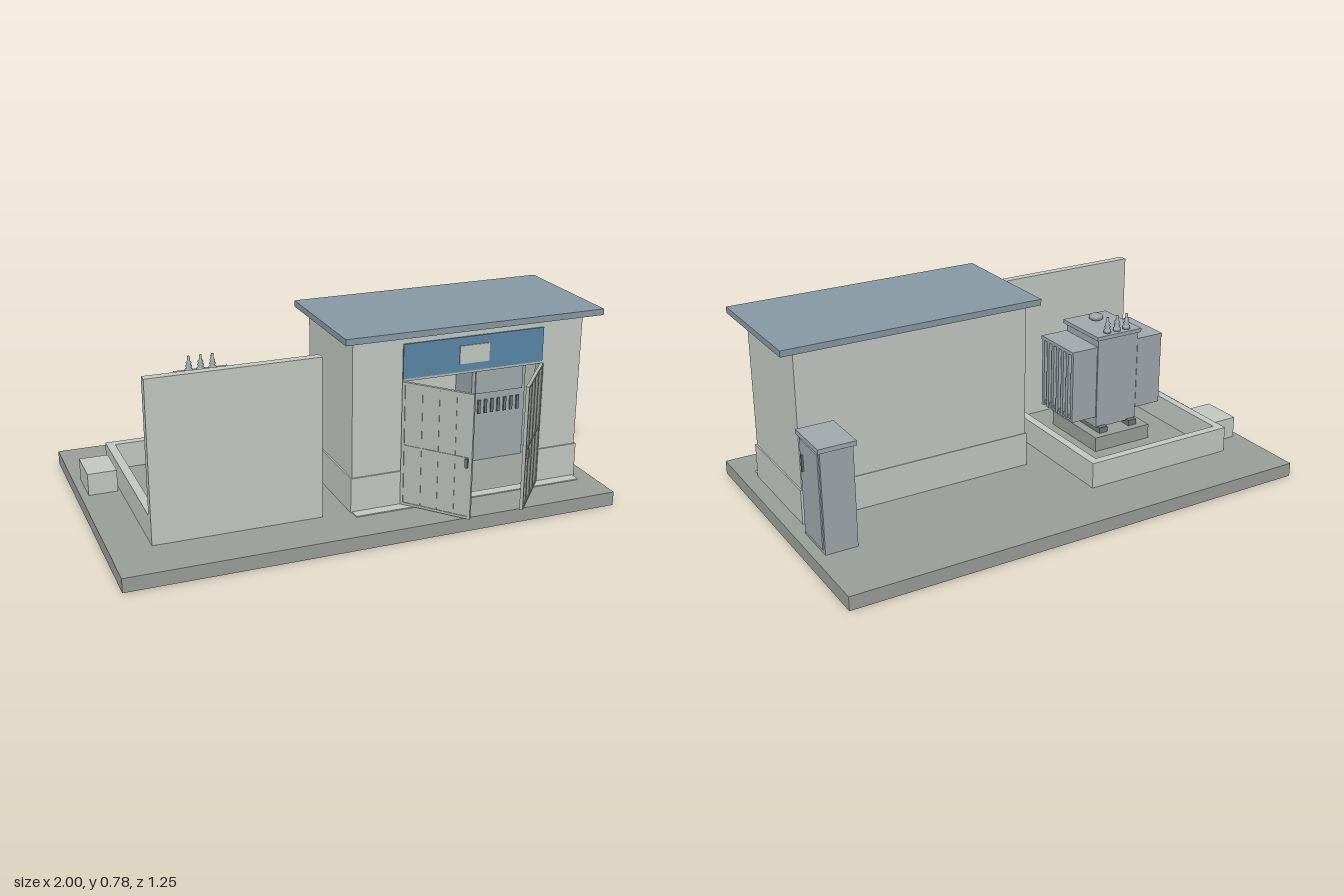
import * as THREE from 'three';

const mat = (color) => new THREE.MeshStandardMaterial({ color });
const M = {
  slab: mat(0x9a9e98), wall: mat(0xc3c8c2), roof: mat(0x8899a4), band: mat(0x5886a6),
  steel: mat(0xa0a9ac), door: mat(0xb3b8b4), dark: mat(0x6f7678),
};
const TOP = 0.057; // slab surface

// box from min/max extents
function box(parent, name, m, x0, x1, y0, y1, z0, z1) {
  const mesh = new THREE.Mesh(new THREE.BoxGeometry(x1 - x0, y1 - y0, z1 - z0), m);
  mesh.position.set((x0 + x1) / 2, (y0 + y1) / 2, (z0 + z1) / 2);
  mesh.name = name;
  parent.add(mesh);
  return mesh;
}

function group(parent, name) {
  const g = new THREE.Group();
  g.name = name;
  parent.add(g);
  return g;
}

function turned(parent, name, m, points, x, y, z) {
  const geo = new THREE.LatheGeometry(points.map(([r, h]) => new THREE.Vector2(r, h)), 16);
  const mesh = new THREE.Mesh(geo, m);
  mesh.name = name;
  mesh.position.set(x, y, z);
  parent.add(mesh);
}

// One door leaf, hinged at the local origin; s = 1 swings from the -x jamb, -1 from the +x jamb
function doorLeaf(parent, s, hingeX) {
  const g = group(parent, s > 0 ? 'rightDoor' : 'leftDoor');
  g.position.set(hingeX, 0, 0.395);
  g.rotation.y = -0.87 * s;
  const W = 0.294, y0 = 0.062, y1 = 0.57;
  const part = (name, m, a, b, ya, yb, za, zb) =>
    box(g, name, m, Math.min(s * a, s * b), Math.max(s * a, s * b), ya, yb, za, zb);
  part('doorPanel', M.door, 0.008, W - 0.008, y0 + 0.008, y1 - 0.008, -0.005, 0.003);
  part('hingeStile', M.door, 0, 0.012, y0, y1, -0.007, 0.006);
  part('lockStile', M.door, W - 0.012, W, y0, y1, -0.007, 0.006);
  for (const y of [y0, 0.304, y1 - 0.01]) {
    part('doorRail', M.door, 0.012, W - 0.012, y, y + 0.01, -0.007, 0.006);
  }
  for (const x of [0.08, 0.15, 0.22]) {
    part('doorRib', M.door, x, x + 0.005, y0 + 0.01, y1 - 0.01, 0.003, 0.005);
  }
  part('doorHandle', M.dark, W - 0.025, W - 0.014, 0.275, 0.312, 0.006, 0.016);
}

function building(parent) {
  const g = group(parent, 'building');
  const x0 = -0.05, x1 = 0.93, z0 = -0.07, z1 = 0.39, h = 0.756, t = 0.03;
  box(g, 'backWall', M.wall, x0, x1, TOP, h, z0, z0 + t);
  box(g, 'rightWall', M.wall, x0, x0 + t, TOP, h, z0 + t, z1 - t);
  box(g, 'leftWall', M.wall, x1 - t, x1, TOP, h, z0 + t, z1 - t);

  // front wall with the doorway cut out
  const s = new THREE.Shape();
  [[x0, TOP], [0.155, TOP], [0.155, 0.575], [0.755, 0.575], [0.755, TOP], [x1, TOP], [x1, h], [x0, h]]
    .forEach(([x, y], i) => (i ? s.lineTo(x, y) : s.moveTo(x, y)));
  const front = new THREE.Mesh(new THREE.ExtrudeGeometry(s, { depth: t, bevelEnabled: false }), M.wall);
  front.position.z = z1 - t;
  front.name = 'frontWall';
  g.add(front);

  // projecting plinth course
  const p = 0.006, py = 0.2;
  box(g, 'plinthBack', M.wall, x0 - p, x1 + p, TOP, py, z0 - p / 2, z0);
  box(g, 'plinthRight', M.wall, x0 - p, x0, TOP, py, z0, z1 + p);
  box(g, 'plinthLeft', M.wall, x1, x1 + p, TOP, py, z0, z1 + p);
  box(g, 'plinthFront', M.wall, x0, 0.155, TOP, py, z1, z1 + p);
  box(g, 'plinthFront', M.wall, 0.755, x1, TOP, py, z1, z1 + p);

  box(g, 'roof', M.roof, -0.1, 0.99, 0.755, 0.78, -0.105, 0.445);
  box(g, 'fasciaPanel', M.band, 0.155, 0.755, 0.578, 0.717, z1, z1 + 0.006);
  box(g, 'blankPlate', M.wall, 0.39, 0.517, 0.61, 0.683, z1 + 0.006, z1 + 0.01);
  box(g, 'doorstep', M.wall, x0, x1, TOP, TOP + 0.004, z1 + p, 0.44);

  // door frame and leaves
  box(g, 'jamb', M.door, 0.155, 0.165, TOP, 0.575, z1 - t, z1 + 0.003);
  box(g, 'jamb', M.door, 0.745, 0.755, TOP, 0.575, z1 - t, z1 + 0.003);
  box(g, 'lintel', M.door, 0.155, 0.755, 0.568, 0.578, z1 - t, z1 + 0.004);
  doorLeaf(g, 1, 0.155);
  doorLeaf(g, -1, 0.755);

  // switchgear inside, either side of the aisle
  for (const x of [0.05, 0.6]) {
    const c = group(g, 'switchgear');
    box(c, 'switchgearBody', M.steel, x, x + 0.25, TOP, 0.54, -0.035, 0.11);
    box(c, 'switchgearDoor', M.steel, x + 0.015, x + 0.235, 0.36, 0.52, 0.11, 0.116);
    for (let i = 0; i < 7; i++) {
      const vx = x + 0.03 + i * 0.03;
      box(c, 'ventSlat', M.dark, vx, vx + 0.012, 0.27, 0.33, 0.11, 0.117);
    }
  }
}

function transformerYard(parent) {
  const g = group(parent, 'transformerYard');
  // bund walls with a tall screen at the front
  box(g, 'bundBack', M.wall, -0.84, -0.17, TOP, 0.165, -0.39, -0.355);
  box(g, 'bundRight', M.wall, -0.84, -0.805, TOP, 0.165, -0.355, 0.355);
  box(g, 'bundLeft', M.wall, -0.205, -0.17, TOP, 0.165, -0.355, 0.355);
  box(g, 'screenWall', M.wall, -0.84, -0.17, TOP, 0.705, 0.355, 0.39);
  box(g, 'oilPit', M.wall, -0.968, -0.85, TOP, 0.148, -0.3, -0.13);

  const t = group(g, 'transformer');
  box(t, 'footing', M.slab, -0.645, -0.37, TOP, 0.12, -0.12, 0.21);
  for (const x of [-0.6, -0.45]) box(t, 'skid', M.dark, x, x + 0.04, 0.12, 0.145, -0.09, 0.18);
  box(t, 'tank', M.steel, -0.605, -0.405, 0.14, 0.537, -0.07, 0.165);
  box(t, 'lid', M.steel, -0.615, -0.395, 0.537, 0.553, -0.08, 0.18);

  // radiator banks: fins between header plates on both sides
  for (const [a, b] of [[-0.735, -0.605], [-0.405, -0.28]]) {
    const r = group(t, 'radiator');
    box(r, 'topHeader', M.steel, a, b, 0.49, 0.505, -0.069, 0.17);
    box(r, 'bottomHeader', M.steel, a + 0.008, b - 0.008, 0.2, 0.215, -0.06, 0.16);
    for (let i = 0; i < 7; i++) {
      const z = -0.068 + i * 0.0365;
      box(r, 'fin', M.steel, a + 0.003, b - 0.003, 0.19, 0.49, z, z + 0.017);
    }
  }

  // ribbed bushings and filler cap
  const profile = [[0, 0], [0.016, 0], [0.016, 0.012], [0.009, 0.018], [0.014, 0.026], [0.008, 0.032],
    [0.012, 0.04], [0.006, 0.046], [0.005, 0.066], [0, 0.066]];
  for (const x of [-0.56, -0.512, -0.464]) turned(t, 'bushing', M.steel, profile, x, 0.553, -0.048);
  turned(t, 'fillerCap', M.steel, [[0, 0], [0.03, 0], [0.03, 0.014], [0.026, 0.018], [0, 0.018]], -0.52, 0.553, 0.117);
}

function outdoorCabinet(parent) {
  const g = group(parent, 'outdoorCabinet');
  box(g, 'cabinetBody', M.steel, 0.825, 0.955, TOP, 0.467, -0.33, -0.145);
  box(g, 'cabinetCap', M.steel, 0.815, 0.965, 0.467, 0.485, -0.34, -0.137);
  box(g, 'cabinetDoor', M.steel, 0.955, 0.96, 0.075, 0.455, -0.318, -0.157);
  box(g, 'cabinetHandle', M.dark, 0.96, 0.967, 0.335, 0.4, -0.185, -0.175);
  for (let i = 0; i < 5; i++) {
    const louvre = box(g, 'louvre', M.steel, 0.84, 0.94, 0.13 + i * 0.065, 0.138 + i * 0.065, -0.15, -0.135);
    louvre.rotation.x = 0.35;
  }
}

export function createModel() {
  const model = new THREE.Group();
  model.name = 'substation';
  box(model, 'baseSlab', M.slab, -1, 1, 0, TOP, -0.627, 0.597);
  building(model);
  transformerYard(model);
  outdoorCabinet(model);
  return model;
}
